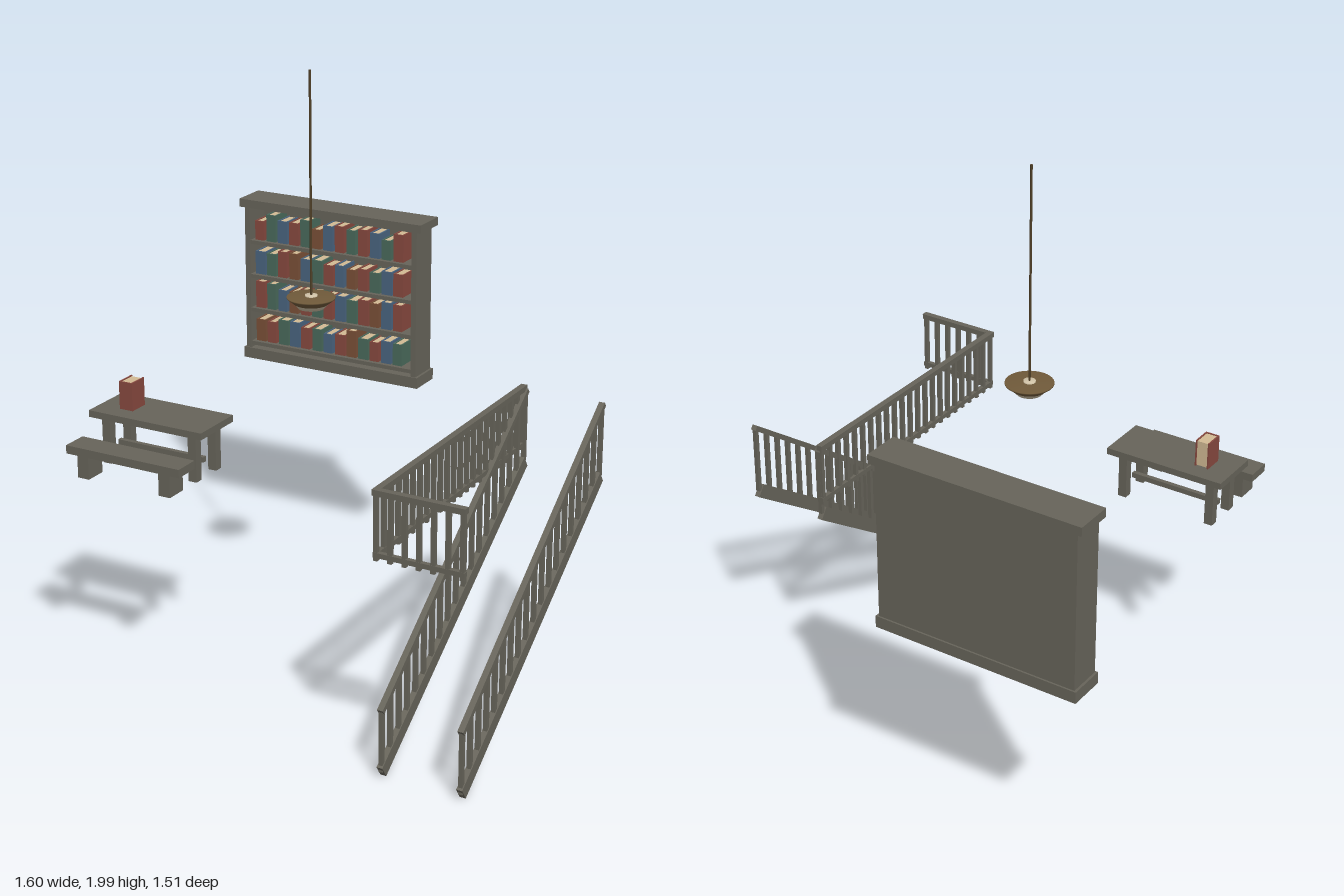
import * as THREE from 'three';

const mat = (color, side = THREE.FrontSide) => new THREE.MeshStandardMaterial({ color, side });
const WOOD = mat(0x67645a);
const CREAM = mat(0xd2ba94);
const BRASS = mat(0x705a3a, THREE.DoubleSide);
const CORD = mat(0x4f3f26);
const COVERS = { r: mat(0x87493f), g: mat(0x4a6a5c), b: mat(0x4a6480), w: mat(0x7a5038) };

function group(name, parent) {
  const g = new THREE.Group();
  g.name = name;
  parent.add(g);
  return g;
}

// Box given by its lowest and highest corner
function box(parent, name, x0, x1, y0, y1, z0, z1, material = WOOD) {
  const m = new THREE.Mesh(new THREE.BoxGeometry(x1 - x0, y1 - y0, z1 - z0), material);
  m.position.set((x0 + x1) / 2, (y0 + y1) / 2, (z0 + z1) / 2);
  m.name = name;
  parent.add(m);
  return m;
}

// Sloping beam in the yz plane, between two points of its centre line
function beam(parent, name, x, width, height, za, ya, zb, yb) {
  const m = new THREE.Mesh(new THREE.BoxGeometry(width, height, Math.hypot(zb - za, yb - ya)), WOOD);
  m.position.set(x, (ya + yb) / 2, (za + zb) / 2);
  m.rotation.x = Math.atan2(yb - ya, za - zb);
  m.name = name;
  parent.add(m);
}

// Upright book, spine to +z, with a page block between two boards
function book(parent, x0, y0, z0, w, h, d, cover) {
  const g = group('book', parent);
  const t = 0.005;
  box(g, 'spine', x0, x0 + w, y0, y0 + h, z0 + d - t, z0 + d, cover);
  box(g, 'rightBoard', x0, x0 + t, y0, y0 + h, z0, z0 + d - t, cover);
  box(g, 'leftBoard', x0 + w - t, x0 + w, y0, y0 + h, z0, z0 + d - t, cover);
  box(g, 'pages', x0 + t, x0 + w - t, y0 + 0.003, y0 + h - 0.003, z0 + 0.003, z0 + d - t, CREAM);
}

function addBookcase(root) {
  const g = group('bookcase', root);
  box(g, 'back', -0.785, -0.085, 0.74, 1.32, -0.746, -0.736);
  box(g, 'rightSide', -0.787, -0.767, 0.74, 1.32, -0.746, -0.632);
  box(g, 'leftSide', -0.104, -0.084, 0.74, 1.32, -0.746, -0.632);
  box(g, 'crown', -0.805, -0.065, 1.31, 1.34, -0.755, -0.625);
  box(g, 'plinth', -0.795, -0.075, 0.735, 0.775, -0.752, -0.627);
  // Shelves with a row of books on each
  const rows = ['rgbrgwbrgrbgr', 'bgrwbgrbwrgbr', 'rgbwrgrbgrwbr', 'wrgbrgbrwgrbg'];
  rows.forEach((row, r) => {
    const y = 1.187 - r * 0.129;
    box(g, 'shelf', -0.767, -0.104, y - 0.014, y, -0.736, -0.634);
    [...row].forEach((c, i) => {
      const k = (i * 7 + r * 5 + i * i * 3) % 11;
      book(g, -0.755 + i * 0.0475, y, -0.73, 0.036 + (k % 3) * 0.003, 0.072 + k * 0.0028, 0.08, COVERS[c]);
    });
  });
}

function addTableAndBench(root) {
  const table = group('table', root);
  box(table, 'tableTop', -0.68, -0.25, 0.894, 0.917, 0.32, 0.51);
  for (const x of [-0.63, -0.3])
    for (const z of [0.357, 0.473]) box(table, 'tableLeg', x - 0.015, x + 0.015, 0.735, 0.894, z - 0.015, z + 0.015);
  box(table, 'stretcher', -0.63, -0.3, 0.778, 0.796, 0.407, 0.423);
  book(table, -0.6, 0.917, 0.38, 0.05, 0.095, 0.07, COVERS.r);

  const bench = group('bench', root);
  box(bench, 'benchSeat', -0.68, -0.25, 0.812, 0.84, 0.55, 0.64);
  for (const x of [-0.62, -0.31]) box(bench, 'benchLeg', x - 0.021, x + 0.021, 0.735, 0.812, 0.56, 0.635);
}

function addLamp(root) {
  const g = group('hangingLamp', root);
  g.position.set(-0.125, 0, 0.03);
  const lathe = (name, pts, material) => {
    const m = new THREE.Mesh(new THREE.LatheGeometry(pts.map(p => new THREE.Vector2(...p)), 32), material);
    m.name = name;
    g.add(m);
  };
  const cord = new THREE.Mesh(new THREE.CylinderGeometry(0.004, 0.004, 0.74, 10), CORD);
  cord.position.y = 1.63;
  cord.name = 'cord';
  g.add(cord);
  lathe('shade', [[0.056, 1.232], [0.08, 1.251], [0.08, 1.255], [0.02, 1.257]], BRASS);
  const cream = mat(0xd2c4a8, THREE.DoubleSide);
  lathe('diffuser', [[0, 1.217], [0.043, 1.217], [0.056, 1.232]], cream);
  lathe('cap', [[0.02, 1.255], [0.02, 1.262], [0, 1.262]], cream);
}

function addStairs(root) {
  const g = group('staircase', root);
  const n = 18;
  for (const x of [0.511, 0.781]) {
    const side = group('stairSide', g);
    beam(side, 'stringer', x, 0.02, 0.046, 0.715, 0.028, -0.265, 0.702);
    beam(side, 'handrail', x, 0.02, 0.018, 0.722, 0.235, -0.272, 0.95);
    for (let i = 0; i <= n; i++) {
      const z = 0.714 - (i / n) * 0.98;
      const y = 0.028 + (0.715 - z) * 0.688;
      const top = 0.235 + (0.722 - z) * 0.719;
      box(side, 'baluster', x - 0.007, x + 0.007, y, top, z - 0.007, z + 0.007);
    }
  }
}

function addLandingRailing(root) {
  const g = group('landingRailing', root);
  // Long run beside the stair, then the short run across the front
  for (const [name, y0, y1, w] of [['topRail', 0.948, 0.967, 0.011], ['bottomRail', 0.752, 0.768, 0.008]]) {
    box(g, name, 0.503 - w, 0.503 + w, y0, y1, -0.275, 0.74 + w);
    box(g, name, 0.503 + w, 0.795, y0, y1, 0.74 - w, 0.74 + w);
  }
  const post = (x, z) => box(g, 'baluster', x - 0.007, x + 0.007, 0.741, 0.95, z - 0.007, z + 0.007);
  for (let i = 0; i <= 22; i++) post(0.503, 0.74 - i * 0.0457);
  for (let i = 1; i <= 6; i++) post(0.503 + i * 0.047, 0.74);
}

export function createModel() {
  const root = new THREE.Group();
  root.name = 'libraryFurnishings';
  addBookcase(root);
  addTableAndBench(root);
  addLamp(root);
  addStairs(root);
  addLandingRailing(root);
  return root;
}
